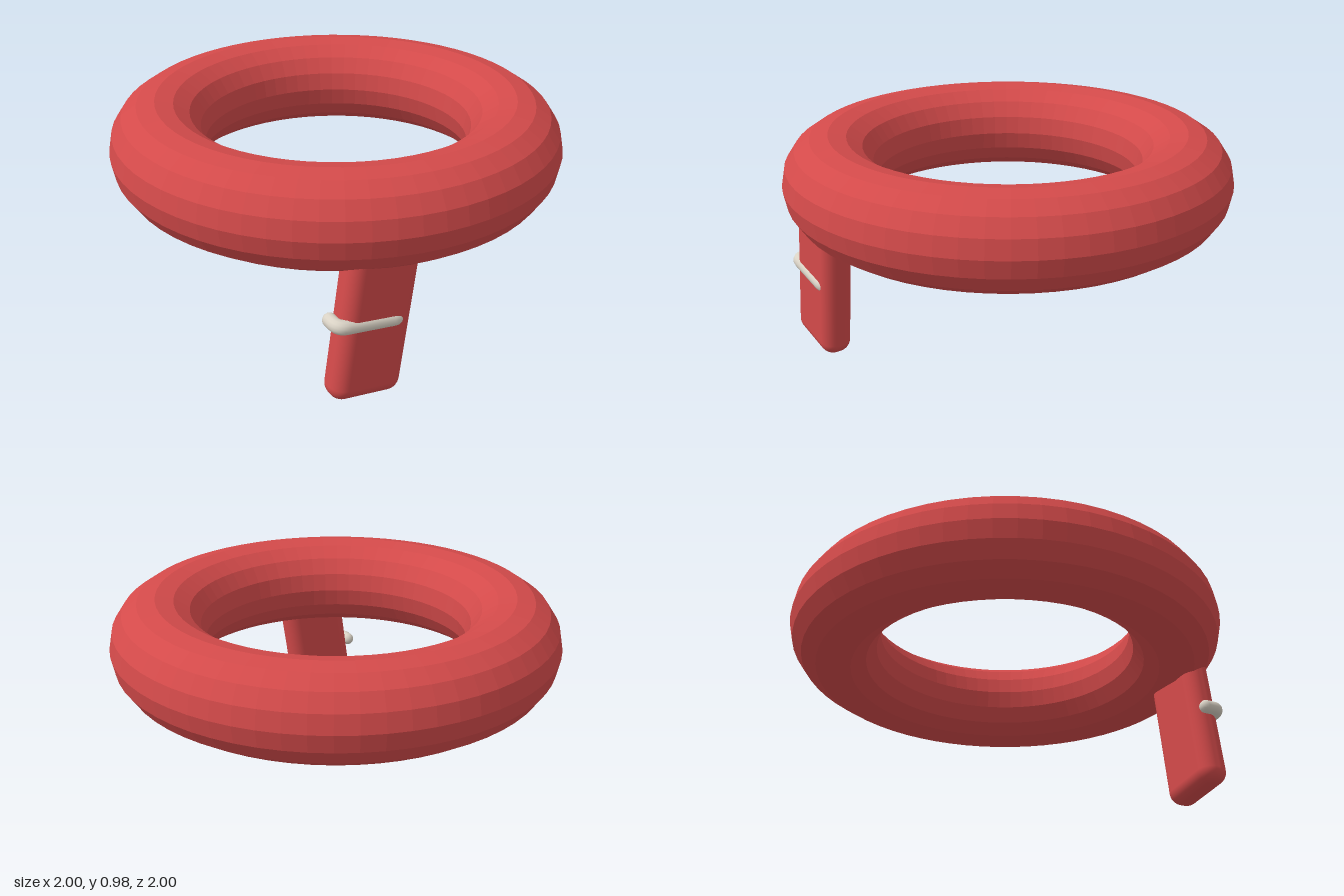
import * as THREE from 'three';
import { RoundedBoxGeometry } from 'three/addons/geometries/RoundedBoxGeometry.js';

export function createModel() {
  const model = new THREE.Group();
  const red = new THREE.MeshStandardMaterial({ color: 0xd34a4a });
  red.name = 'red';
  const ivory = new THREE.MeshStandardMaterial({ color: 0xd9d2c5 });
  ivory.name = 'ivory';

  const add = (parent, name, geometry, material) => {
    const mesh = new THREE.Mesh(geometry, material);
    mesh.name = name;
    parent.add(mesh);
    return mesh;
  };

  // Faceted ring lying flat
  const ringGeometry = new THREE.TorusGeometry(0.79, 0.208, 16, 64).rotateX(Math.PI / 2).toNonIndexed();
  ringGeometry.computeVertexNormals();
  add(model, 'ring', ringGeometry, red).position.y = 0.777;

  // Tilted tab hanging from the front of the ring
  const tab = new THREE.Group();
  tab.name = 'tab';
  tab.position.set(-0.297, 0.362, 0.79);
  tab.rotation.z = -THREE.MathUtils.degToRad(8);
  model.add(tab);
  add(tab, 'strap', new RoundedBoxGeometry(0.324, 0.7, 0.138, 5, 0.06), red);

  // Clasp: a bar across the strap whose ends turn back into it
  const r = 0.03, half = 0.142, front = 0.05, back = -0.02, bend = 0.04;
  const v = (x, z) => new THREE.Vector3(x, 0, z);
  const path = new THREE.CurvePath();
  path.add(new THREE.LineCurve3(v(-half, back), v(-half, front - bend)));
  path.add(new THREE.QuadraticBezierCurve3(v(-half, front - bend), v(-half, front), v(-half + bend, front)));
  path.add(new THREE.LineCurve3(v(-half + bend, front), v(half - bend, front)));
  path.add(new THREE.QuadraticBezierCurve3(v(half - bend, front), v(half, front), v(half, front - bend)));
  path.add(new THREE.LineCurve3(v(half, front - bend), v(half, back)));
  const clasp = new THREE.Group();
  clasp.name = 'clasp';
  clasp.position.x = -0.038;
  tab.add(clasp);
  add(clasp, 'claspBar', new THREE.TubeGeometry(path, 64, r, 14), ivory);
  for (const side of [-1, 1]) {
    add(clasp, 'claspEnd', new THREE.SphereGeometry(r, 14, 10), ivory).position.set(side * half, 0, back);
  }
  return model;
}
